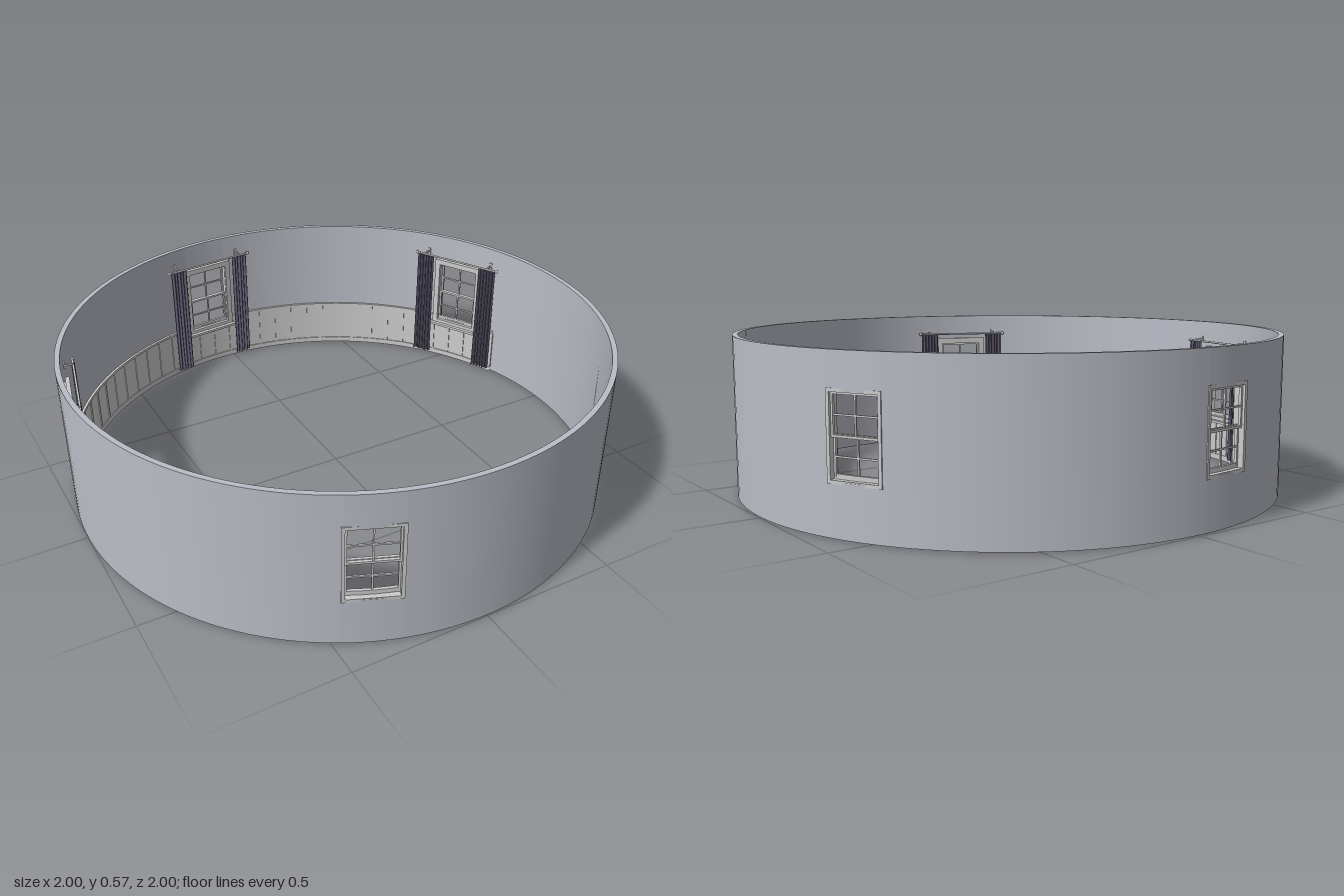
import * as THREE from 'three';
import { toCreasedNormals } from 'three/addons/utils/BufferGeometryUtils.js';

const rad = THREE.MathUtils.degToRad;
const plaster = new THREE.MeshStandardMaterial({ color: 0xbabdc6 });
const grey = new THREE.MeshStandardMaterial({ color: 0xcccccc });
const cloth = new THREE.MeshStandardMaterial({ color: 0x605a70, side: THREE.DoubleSide });

const WINDOWS = [-22.6, 117.2, 186.7, 257.6]; // azimuth of each window, from +z towards +x
const HALF_OPENING = 5.4;                     // half angle of a wall opening
const SILL = 0.18, HEAD = 0.452;              // opening bottom and top
const WALL_IN = 0.981, WALL_TOP = 0.575;

function add(parent, name, geometry, material, x = 0, y = 0, z = 0) {
  const mesh = new THREE.Mesh(geometry, material);
  mesh.name = name;
  mesh.position.set(x, y, z);
  parent.add(mesh);
  return mesh;
}

// Curved block between two azimuths, two heights and two radii
function arcBlock(parent, name, material, a0, a1, y0, y1, r0, r1) {
  const profile = [[r1, y0], [r1, y1], [r0, y1], [r0, y0], [r1, y0]]
    .map(([r, y]) => new THREE.Vector2(r, y));
  const steps = Math.max(2, Math.ceil((a1 - a0) / 2.5));
  const lathe = new THREE.LatheGeometry(profile, steps, rad(a0), rad(a1 - a0));
  return add(parent, name, toCreasedNormals(lathe, rad(30)), material);
}

// Box given by its centre and size
function box(parent, name, x, y, z, w, h, d) {
  return add(parent, name, new THREE.BoxGeometry(w, h, d), grey, x, y, z);
}

// Rectangular frame, extruded from z0 to z1
function frame(parent, name, halfW, y0, y1, border, z0, z1) {
  const rect = (P, inset) => {
    const p = new P();
    p.moveTo(-halfW + inset, y0 + inset);
    p.lineTo(halfW - inset, y0 + inset);
    p.lineTo(halfW - inset, y1 - inset);
    p.lineTo(-halfW + inset, y1 - inset);
    p.closePath();
    return p;
  };
  const shape = rect(THREE.Shape, 0);
  shape.holes.push(rect(THREE.Path, border));
  const geometry = new THREE.ExtrudeGeometry(shape, { depth: z1 - z0, bevelEnabled: false });
  return add(parent, name, geometry, grey, 0, 0, z0);
}

// One sash with a two by two grid of panes
function sash(parent, name, y0, y1, z) {
  frame(parent, name, 0.087, y0, y1, 0.008, z - 0.005, z + 0.005);
  box(parent, 'uprightGlazingBar', 0, (y0 + y1) / 2, z, 0.006, y1 - y0 - 0.01, 0.006);
  box(parent, 'crossGlazingBar', 0, (y0 + y1) / 2, z, 0.166, 0.006, 0.006);
}

// Hanging cloth with soft vertical folds
function curtainGeometry() {
  const geometry = new THREE.PlaneGeometry(0.075, 0.47, 56, 8);
  const p = geometry.attributes.position;
  for (let i = 0; i < p.count; i++) {
    const u = p.getX(i) / 0.075, v = 0.5 - p.getY(i) / 0.47;
    const fold = Math.sin(u * Math.PI * 11) + 0.35 * Math.sin(u * 17 + v * 2);
    p.setZ(i, fold * (0.005 + 0.002 * v));
  }
  geometry.computeVertexNormals();
  return geometry;
}

// Window, casing and curtains; local +z points out through the wall
function windowUnit(azimuth) {
  const unit = new THREE.Group();
  unit.name = 'window';
  unit.rotation.y = rad(azimuth);
  frame(unit, 'windowFrame', 0.098, 0.172, 0.461, 0.012, 0.962, 0.999);
  frame(unit, 'insideCasing', 0.11, 0.163, 0.474, 0.022, 0.956, 0.971);
  box(unit, 'windowSill', 0, 0.166, 0.957, 0.235, 0.01, 0.032);
  sash(unit, 'upperSash', 0.312, 0.45, 0.985);
  sash(unit, 'lowerSash', 0.182, 0.322, 0.974);

  const rod = add(unit, 'curtainRod', new THREE.CylinderGeometry(0.004, 0.004, 0.38, 12), grey, 0, 0.495, 0.936);
  rod.rotation.z = Math.PI / 2;
  const cloths = curtainGeometry();
  for (const side of [-1, 1]) {
    add(unit, 'curtain', cloths, cloth, side * 0.148, 0.258, 0.936);
    add(unit, 'rodFinial', new THREE.SphereGeometry(0.007, 12, 8), grey, side * 0.192, 0.495, 0.936);
    box(unit, 'rodBracket', side * 0.15, 0.5, 0.954, 0.006, 0.006, 0.038);
    box(unit, 'bracketPlate', side * 0.15, 0.5, 0.968, 0.012, 0.026, 0.006);
  }
  return unit;
}

export function createModel() {
  const model = new THREE.Group();
  model.name = 'roundRoom';

  // Round wall, left open at each window
  const wall = new THREE.Group();
  wall.name = 'wall';
  model.add(wall);
  WINDOWS.forEach((a, i) => {
    const next = i < WINDOWS.length - 1 ? WINDOWS[i + 1] : WINDOWS[0] + 360;
    const l = a - HALF_OPENING, r = a + HALF_OPENING;
    arcBlock(wall, 'wallBay', plaster, r, next - HALF_OPENING, 0.004, WALL_TOP, WALL_IN, 1);
    arcBlock(wall, 'wallBelowWindow', plaster, l, r, 0.004, SILL, WALL_IN, 1);
    arcBlock(wall, 'wallAboveWindow', plaster, l, r, HEAD, WALL_TOP, WALL_IN, 1);
    model.add(windowUnit(a));
  });

  // Panelling along the lower wall on one side of the room
  const panelling = new THREE.Group();
  panelling.name = 'panelling';
  model.add(panelling);
  const start = 106, end = 348, count = 55;
  arcBlock(panelling, 'panelBoard', grey, start, end, 0, 0.195, 0.977, 0.982);
  arcBlock(panelling, 'capRail', grey, start, end, 0.19, 0.2, 0.971, 0.982);
  arcBlock(panelling, 'baseboard', grey, start, end, 0, 0.022, 0.973, 0.982);
  for (let i = 0; i <= count; i++) {
    const a = rad(start + (end - start) * i / count);
    const batten = box(panelling, 'batten', 0.976 * Math.sin(a), 0.105, 0.976 * Math.cos(a), 0.006, 0.17, 0.005);
    batten.rotation.y = a;
  }
  return model;
}
